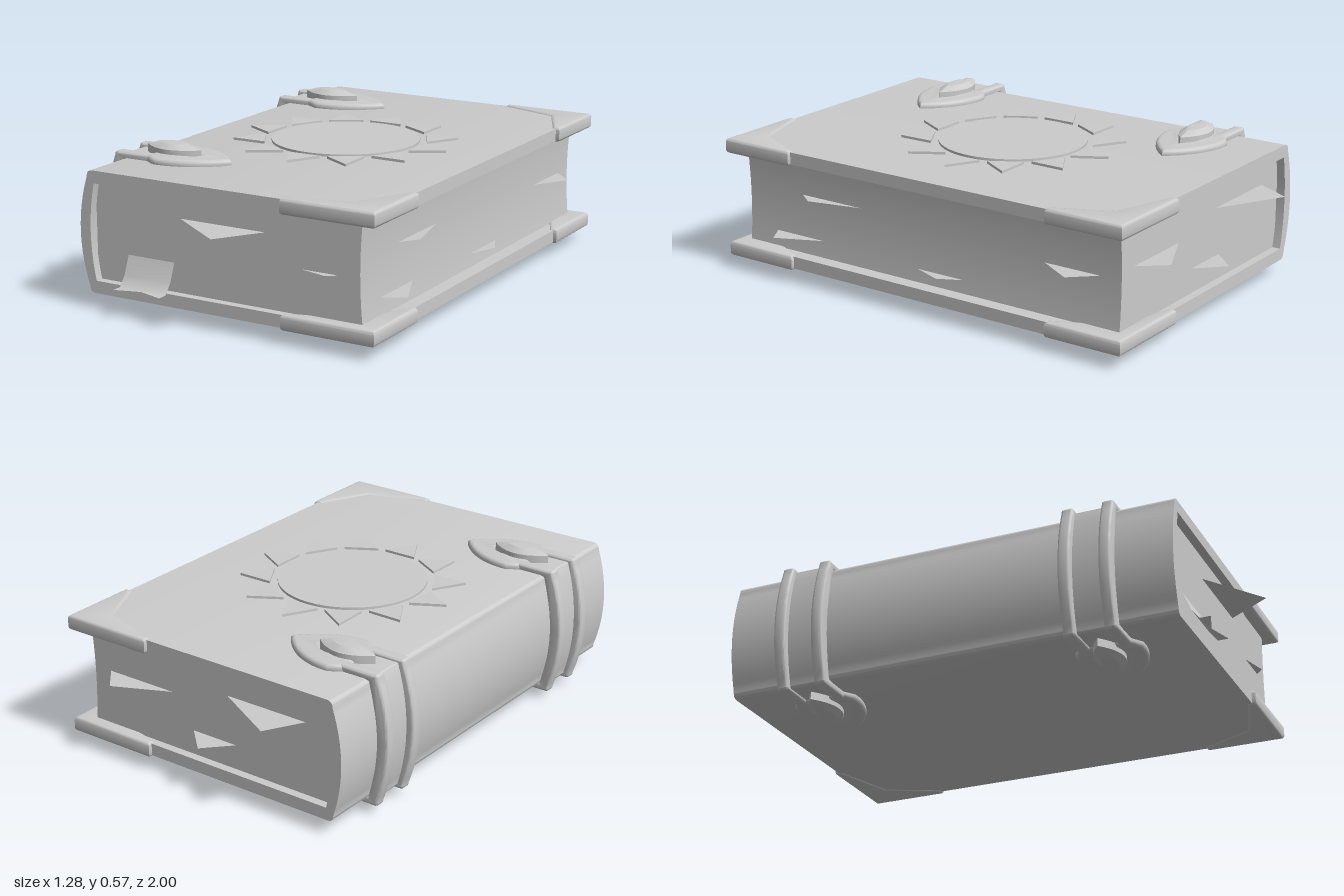
import * as THREE from 'three';
import { toCreasedNormals } from 'three/addons/utils/BufferGeometryUtils.js';

const MID_Y = 0.2925, MID_Z = -0.0125;
const grey = new THREE.MeshStandardMaterial({ color: 0xcccccc });
const paper = new THREE.MeshStandardMaterial({ color: 0xcccccc, side: THREE.DoubleSide });

function add(parent, name, geometry, material = grey) {
  const mesh = new THREE.Mesh(geometry, material);
  mesh.name = name;
  parent.add(mesh);
  return mesh;
}

// Extrude with the bevel kept inside the outline
function extrude(shape, depth, bevel = 0) {
  const geo = new THREE.ExtrudeGeometry(shape, {
    depth: depth - 2 * bevel, curveSegments: 16, bevelEnabled: bevel > 0,
    bevelThickness: bevel, bevelSize: bevel, bevelOffset: -bevel, bevelSegments: 3,
  });
  return geo.translate(0, 0, bevel);
}

// Flat piece lying in the ground plane between two heights
function slab(shape, y0, y1, bevel) {
  const geo = extrude(shape, y1 - y0, bevel).rotateX(-Math.PI / 2).translate(0, y0, 0);
  return toCreasedNormals(geo, 0.7);
}

const outline = (pts) => new THREE.Shape(pts.map(([x, z]) => new THREE.Vector2(x, -z)));

// C-shaped section wrapping the spine, centred on y = 0
function wrap(xEnd, out, inn, round) {
  const s = new THREE.Shape();
  s.moveTo(xEnd, out.h);
  s.lineTo(out.x + round, out.h);
  s.quadraticCurveTo(out.x, out.h, out.x, out.h - round);
  s.quadraticCurveTo(out.x - 2 * out.bulge, 0, out.x, round - out.h);
  s.quadraticCurveTo(out.x, -out.h, out.x + round, -out.h);
  s.lineTo(xEnd, -out.h);
  s.lineTo(xEnd, -inn.h);
  s.lineTo(inn.x, -inn.h);
  s.quadraticCurveTo(inn.x - 2 * inn.bulge, 0, inn.x, inn.h);
  s.lineTo(xEnd, inn.h);
  s.closePath();
  return s;
}

function wrapMesh(parent, name, shape, z, width, bevel) {
  const geo = extrude(shape, width, bevel).translate(0, MID_Y, z - width / 2);
  return add(parent, name, toCreasedNormals(geo, 0.7));
}

// Pointed oval along x
function lens(path, x0, x1, half) {
  const m = (x0 + x1) / 2;
  path.moveTo(x0, 0);
  path.quadraticCurveTo(m, half * 2, x1, 0);
  path.quadraticCurveTo(m, -half * 2, x0, 0);
  return path;
}

function clasp() {
  const g = new THREE.Group();
  g.name = 'clasp';
  // Raised rim ending in a point
  const rim = new THREE.Shape();
  rim.moveTo(-0.46, 0.095);
  rim.lineTo(-0.41, 0.128);
  rim.bezierCurveTo(-0.32, 0.135, -0.22, 0.09, -0.15, 0);
  rim.bezierCurveTo(-0.22, -0.09, -0.32, -0.135, -0.41, -0.128);
  rim.lineTo(-0.46, -0.095);
  rim.closePath();
  rim.holes.push(lens(new THREE.Path(), -0.455, -0.24, 0.06));
  add(g, 'claspRim', slab(rim, 0.215, 0.2525, 0.014));
  // Gem with a tapered crown
  const gem = new THREE.ExtrudeGeometry(lens(new THREE.Shape(), -0.12, 0.12, 0.055),
    { depth: 1, steps: 2, bevelEnabled: false, curveSegments: 12 });
  const p = gem.attributes.position;
  for (let i = 0; i < p.count; i++) {
    const t = p.getZ(i), k = t > 0.9 ? 0.55 : 1;
    p.setXYZ(i, p.getX(i) * k, p.getY(i) * k, t > 0.9 ? 0.287 : t > 0.4 ? 0.27 : 0.22);
  }
  gem.rotateX(-Math.PI / 2).translate(-0.4, 0, 0);
  add(g, 'gem', toCreasedNormals(gem, 0.5));
  return g;
}

export function createModel() {
  const book = new THREE.Group();
  book.name = 'book';

  // Cover and page block
  const coverIn = { h: 0.1825, x: -0.535, bulge: 0.02 };
  wrapMesh(book, 'cover', wrap(0.615, { h: 0.23, x: -0.565, bulge: 0.035 }, coverIn, 0.025), MID_Z, 1.755, 0);
  const pages = new THREE.Shape();
  pages.moveTo(-0.55, 0.19);
  pages.lineTo(0.56, 0.19);
  pages.quadraticCurveTo(0.54, 0, 0.56, -0.19);
  pages.lineTo(-0.55, -0.19);
  pages.closePath();
  wrapMesh(book, 'pages', pages, MID_Z, 1.69, 0);

  // Corner guards on both covers
  for (const side of [1, -1]) {
    const pts = [[0.26, 0.8925], [0.63, 0.8925], [0.63, 0.58], [0.6, 0.58], [0.5, 0.785], [0.26, 0.862]];
    const shape = outline(pts.map(([x, d]) => [x, MID_Z + side * d]));
    for (const y of [0.0565, 0.47]) add(book, 'cornerGuard', slab(shape, y, y + 0.0585, 0.012));
  }

  // Straps: two rails, a sunken band, and a clasp on each cover
  const strapIn = { h: 0.222, x: -0.56, bulge: 0.03 };
  for (const z of [0.55, -0.585]) {
    const strap = new THREE.Group();
    strap.name = 'strap';
    book.add(strap);
    for (const s of [1, -1]) {
      wrapMesh(strap, 'strapRail', wrap(-0.42, { h: 0.2525, x: -0.6, bulge: 0.045 }, strapIn, 0.012),
        z + s * 0.077, 0.046, 0.01);
      const c = clasp();
      c.position.set(0, MID_Y, z);
      if (s < 0) c.rotation.x = Math.PI;
      strap.add(c);
    }
    wrapMesh(strap, 'strapBand', wrap(-0.42, { h: 0.24, x: -0.58, bulge: 0.035 }, strapIn, 0.012), z, 0.12, 0);
  }

  // Sun emblem on the top cover
  const sun = new THREE.Group();
  sun.name = 'sunEmblem';
  sun.position.set(0, 0.522, -0.0155);
  book.add(sun);
  add(sun, 'sunDisc', new THREE.CylinderGeometry(0.284, 0.284, 0.02, 48));
  for (let i = 0; i < 12; i++) {
    const ray = outline([[0.308, -0.068], [0.43, 0], [0.308, 0.068]]);
    add(sun, 'sunRay', slab(ray, -0.01, 0.01, 0)).rotation.y = (i * Math.PI) / 6;
  }

  // Loose page tips: height, two base points and the tip (x, z)
  const tips = [
    [0.385, -0.2, 0.82, 0.18, 0.82, 0.06, 1.0],
    [0.275, 0.27, 0.82, 0.48, 0.82, 0.43, 0.862],
    [0.34, 0.55, 0.57, 0.55, 0.28, 0.6, 0.5],
    [0.16, 0.55, 0.03, 0.55, -0.2, 0.6, -0.1],
    [0.175, 0.55, 0.7, 0.55, 0.46, 0.635, 0.65],
    [0.3, 0.55, -0.54, 0.55, -0.77, 0.635, -0.68],
    [0.33, 0.48, -0.85, 0.16, -0.85, 0.39, -0.955],
    [0.205, 0.09, -0.85, -0.12, -0.85, -0.02, -0.955],
    [0.39, -0.065, -0.85, -0.43, -0.85, -0.345, -1.0],
  ];
  for (const [y, ax, az, bx, bz, tx, tz] of tips) {
    const geo = new THREE.BufferGeometry().setFromPoints([
      new THREE.Vector3(ax, y, az), new THREE.Vector3(bx, y, bz), new THREE.Vector3(tx, y, tz)]);
    geo.computeVertexNormals();
    add(book, 'pageTip', geo, paper);
  }

  // Ribbon bookmark, curling outward to a notched end
  const ribbon = new THREE.PlaneGeometry(0.2, 1, 2, 3);
  const rp = ribbon.attributes.position;
  const rows = [[0.225, 0.83], [0.15, 0.86], [0.112, 0.89], [0.112, 0.93]];
  for (let i = 0; i < rp.count; i++) {
    const row = Math.floor(i / 3), notch = row === 3 && i % 3 === 1 ? 0.03 : 0;
    rp.setXYZ(i, rp.getX(i) - 0.312, rows[row][0], rows[row][1] - notch);
  }
  ribbon.computeVertexNormals();
  add(book, 'ribbon', ribbon, paper);

  return book;
}
